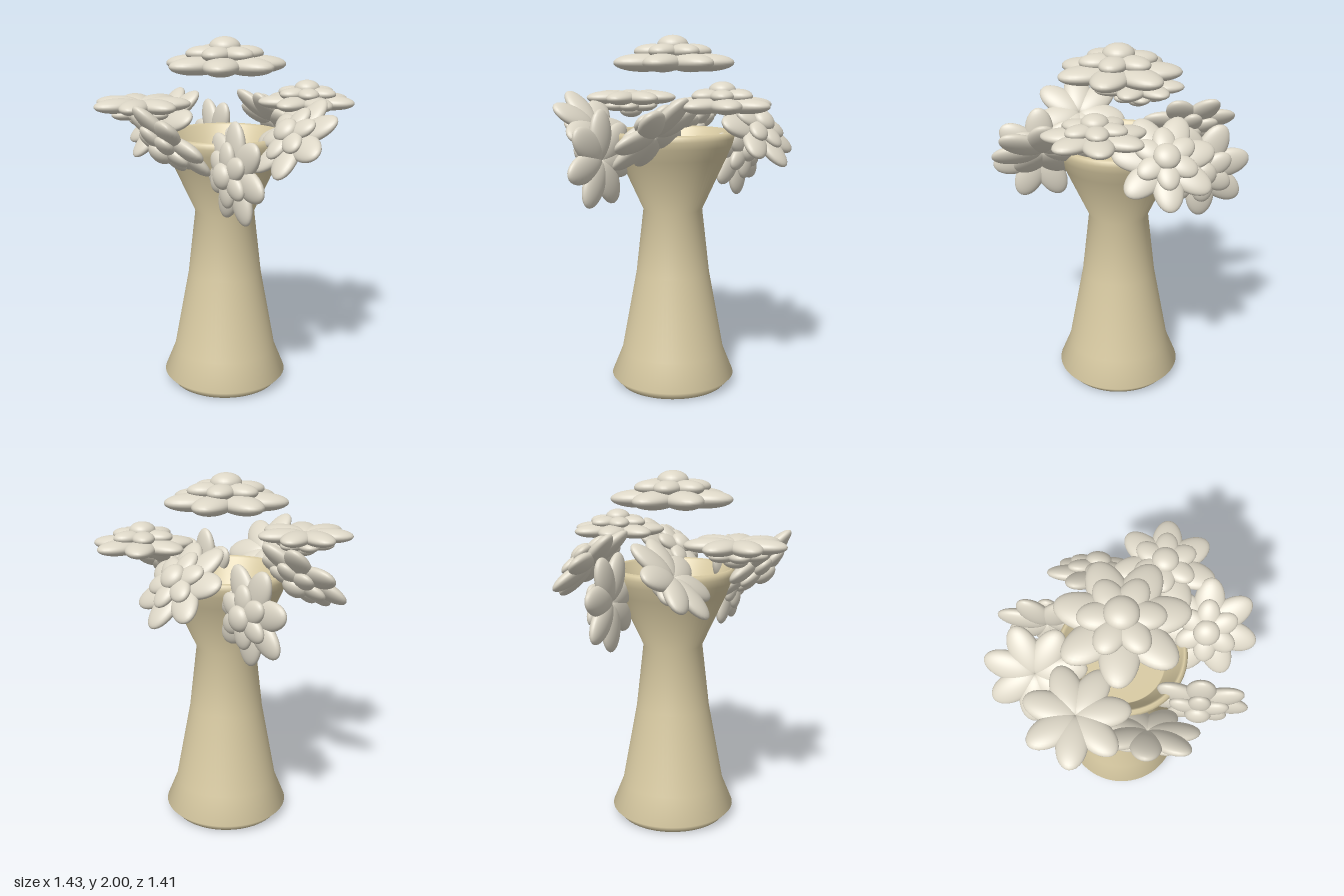
import * as THREE from 'three';

const petalMat = new THREE.MeshStandardMaterial({ color: 0xdcd6c6 });
const vaseMat = new THREE.MeshStandardMaterial({ color: 0xd9cba3, side: THREE.DoubleSide });
const ball = new THREE.SphereGeometry(1, 28, 18);

// A ring of flattened ellipsoid petals radiating from the flower's axis
function addPetals(flower, name, { count, reach, size, height, start }) {
  for (let i = 0; i < count; i++) {
    const a = start + (i / count) * Math.PI * 2;
    const petal = new THREE.Mesh(ball, petalMat);
    petal.name = name;
    petal.scale.set(...size);
    petal.position.set(Math.cos(a) * reach, height, Math.sin(a) * reach);
    petal.rotation.y = -a;
    flower.add(petal);
  }
}

// Two tiers of petals with a rounded bud on top
function createFlower(name) {
  const flower = new THREE.Group();
  flower.name = name;
  addPetals(flower, 'outerPetal', { count: 7, reach: 0.17, size: [0.17, 0.05, 0.1], height: 0, start: 0 });
  addPetals(flower, 'innerPetal', { count: 6, reach: 0.11, size: [0.105, 0.042, 0.075], height: 0.06, start: 0 });
  const bud = new THREE.Mesh(ball, petalMat);
  bud.name = 'bud';
  bud.scale.set(0.087, 0.055, 0.087);
  bud.position.y = 0.095;
  flower.add(bud);
  return flower;
}

// Flared vase with a rounded lip and a shallow bowl inside the top
function createVase() {
  const profile = [
    [0, 0], [0.31, 0], [0.312, 0.004], [0.355, 0.05], [0.295, 0.2], [0.21, 0.66],
    [0.168, 1.03], [0.305, 1.33], [0.335, 1.4], [0.346, 1.44], [0.342, 1.465],
    [0.328, 1.475], [0.315, 1.465], [0.285, 1.4], [0.235, 1.32], [0.23, 1.318], [0, 1.318],
  ].map(([r, y]) => new THREE.Vector2(r, y));
  const vase = new THREE.Mesh(new THREE.LatheGeometry(profile, 64), vaseMat);
  vase.name = 'vase';
  return vase;
}

export function createModel() {
  const model = new THREE.Group();
  model.name = 'flowerVase';
  model.add(createVase());

  // Top flower
  const top = createFlower('topFlower');
  top.position.y = 1.85;
  model.add(top);

  // Eight flowers around the rim, each rolled further than the one before
  for (let i = 0; i < 8; i++) {
    const a = (i * Math.PI) / 4;
    const flower = createFlower('rimFlower');
    flower.scale.setScalar(0.8);
    flower.position.set(Math.cos(a) * 0.46, 1.49 + 0.15 * Math.cos(2 * a), Math.sin(a) * 0.46);
    flower.rotation.set(0, 0.4, a);
    model.add(flower);
  }
  return model;
}
